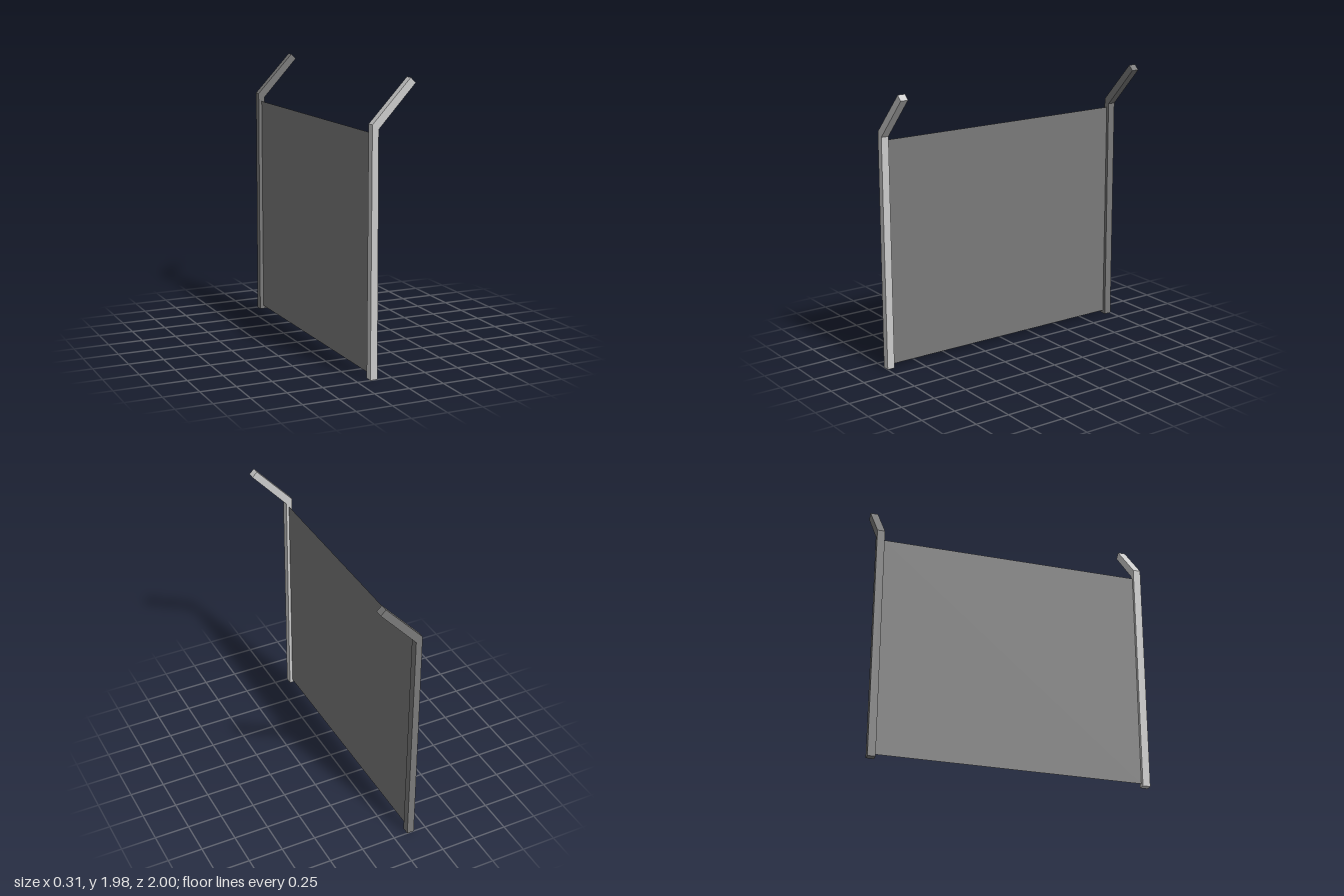
import * as THREE from 'three';

export function createModel() {
  const group = new THREE.Group();
  group.name = 'fencePanel';

  const lightGrey = new THREE.MeshStandardMaterial({ color: 0xcccccc });
  lightGrey.name = 'lightGrey';
  const darkGrey = new THREE.MeshStandardMaterial({ color: 0x7a7a7a, side: THREE.DoubleSide });
  darkGrey.name = 'darkGrey';

  // Post profile: nearly upright shaft with an arm bent over to +x
  const profile = new THREE.Shape([
    [-0.157, 0], [-0.105, 0], [-0.108, 1.658],
    [0.155, 1.945], [0.118, 1.98], [-0.153, 1.69],
  ].map(([x, y]) => new THREE.Vector2(x, y)));
  const depth = 0.055;
  const postGeometry = new THREE.ExtrudeGeometry(profile, { depth, bevelEnabled: false });

  // One post at each end
  for (const [name, z, material] of [
    ['frontPost', 1 - depth, lightGrey],
    ['backPost', -1, darkGrey],
  ]) {
    const post = new THREE.Mesh(postGeometry, material);
    post.name = name;
    post.position.z = z;
    group.add(post);
  }

  // Thin sheet stretched between the posts
  const bottom = 0.023, top = 1.63;
  const sheet = new THREE.Mesh(new THREE.PlaneGeometry(2 * (1 - depth), top - bottom), darkGrey);
  sheet.name = 'sheet';
  sheet.rotation.y = Math.PI / 2;
  sheet.position.set(-0.129, (top + bottom) / 2, 0);
  group.add(sheet);

  return group;
}
